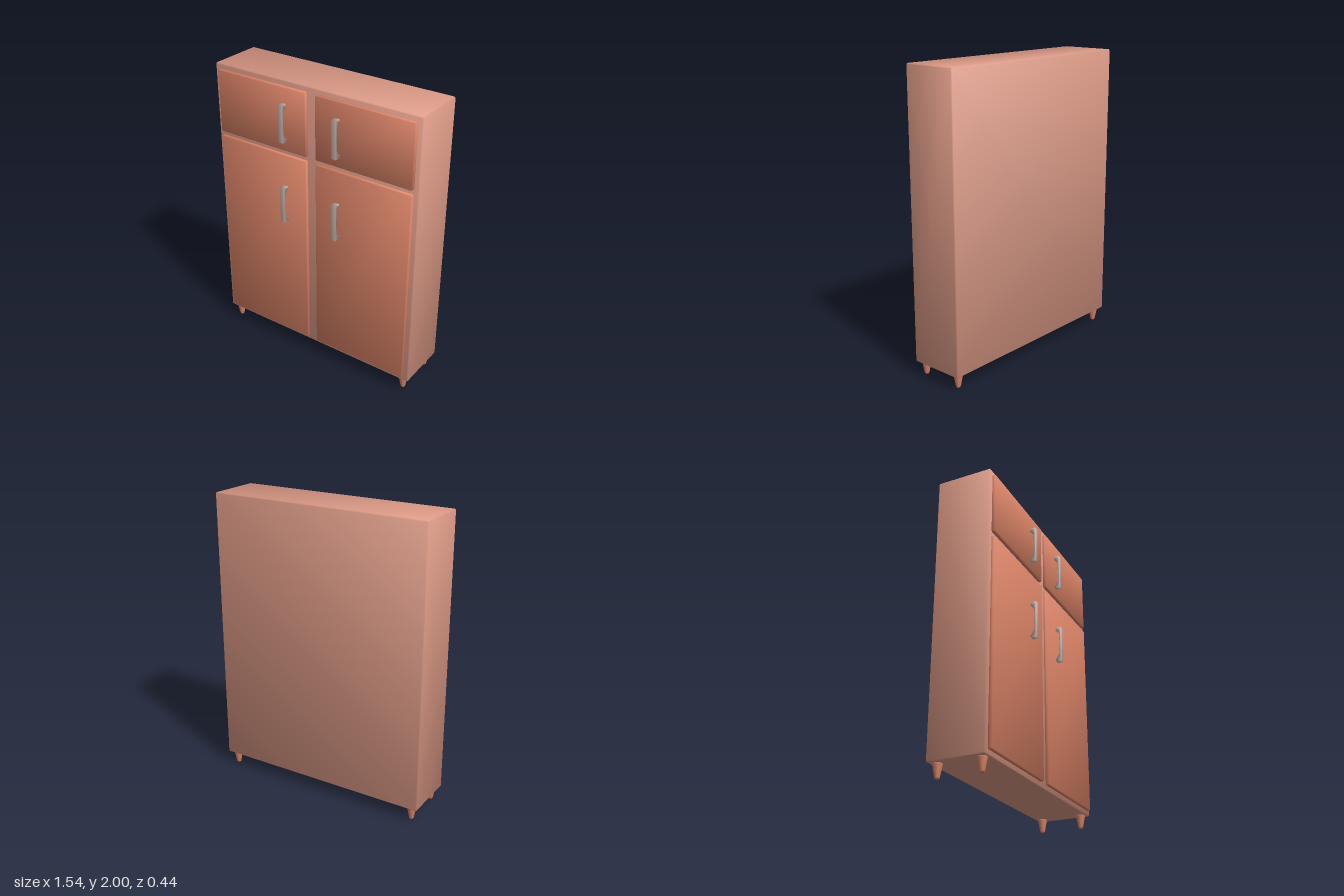
import * as THREE from 'three';
import { mergeVertices } from 'three/addons/utils/BufferGeometryUtils.js';
import { ConvexGeometry } from 'three/addons/geometries/ConvexGeometry.js';

const SIGNS = [-1, 1];

// Box with a small chamfer and soft normals, so its faces shade smoothly into each other
function softBox(w, h, d, bevel) {
  const half = [w / 2, h / 2, d / 2];
  const points = [];
  for (const sx of SIGNS) for (const sy of SIGNS) for (const sz of SIGNS) {
    for (let axis = 0; axis < 3; axis++) {
      const p = [sx, sy, sz].map((s, i) => s * (half[i] - (i === axis ? 0 : bevel)));
      points.push(new THREE.Vector3(...p));
    }
  }
  const geometry = new ConvexGeometry(points);
  const pos = geometry.attributes.position;
  const normal = new THREE.Vector3();
  for (let i = 0; i < pos.count; i++) {
    const n = [pos.getX(i), pos.getY(i), pos.getZ(i)].map((v, k) =>
      Math.sign(v) * (Math.abs(v) > half[k] - bevel / 2 ? 1 : 0.39));
    normal.set(...n).normalize();
    geometry.attributes.normal.setXYZ(i, normal.x, normal.y, normal.z);
  }
  return geometry;
}

// Bow handle: side outline in (z, y), extruded across x
function handleGeometry(width, height) {
  const h = height / 2;
  const shape = new THREE.Shape();
  shape.moveTo(0, -h);
  shape.lineTo(0.04, -h);
  shape.lineTo(0.04, h);
  shape.lineTo(0, h);
  shape.lineTo(0, h - 0.02);
  shape.lineTo(0.006, h - 0.02);
  shape.lineTo(0.028, h - 0.05);
  shape.lineTo(0.03, 0);
  shape.lineTo(0.028, -h + 0.05);
  shape.lineTo(0.006, -h + 0.02);
  shape.lineTo(0, -h + 0.02);
  shape.closePath();
  let geometry = new THREE.ExtrudeGeometry(shape, { depth: width, bevelEnabled: false });
  geometry.translate(0, 0, -width / 2);
  geometry.rotateY(-Math.PI / 2);
  geometry.deleteAttribute('normal');
  geometry.deleteAttribute('uv');
  geometry = mergeVertices(geometry);
  geometry.computeVertexNormals();
  return geometry;
}

export function createModel() {
  const paint = (name, color) => {
    const material = new THREE.MeshStandardMaterial({ color });
    material.name = name;
    return material;
  };
  const bodyPaint = paint('pale terracotta', 0xdb9985);
  const doorPaint = paint('terracotta', 0xdc8467);
  const handlePaint = paint('warm grey', 0xccb5ad);

  const cabinet = new THREE.Group();
  cabinet.name = 'cabinet';
  const add = (name, geometry, material, x, y, z) => {
    const mesh = new THREE.Mesh(geometry, material);
    mesh.name = name;
    mesh.position.set(x, y, z);
    cabinet.add(mesh);
  };

  // Carcass
  add('body', softBox(1.536, 1.91, 0.38, 0.008), bodyPaint, 0, 1.045, -0.03);

  // Door pairs with their handles
  const handle = handleGeometry(0.036, 0.255);
  const rows = [
    { name: 'lower', bottom: 0.122, top: 1.506, handleY: 1.158 },
    { name: 'upper', bottom: 1.535, top: 1.967, handleY: 1.732 },
  ];
  for (const row of rows) {
    const door = softBox(0.7, row.top - row.bottom, 0.03, 0.007);
    for (const side of SIGNS) {
      const label = row.name + (side > 0 ? 'Left' : 'Right');
      add(label + 'Door', door, doorPaint, side * 0.385, (row.bottom + row.top) / 2, 0.167);
      add(label + 'Handle', handle, handlePaint, side * 0.202, row.handleY, 0.18);
    }
  }

  // Tapered feet
  const profile = [[0, 0], [0.012, 0], [0.016, 0.008], [0.031, 0.085], [0.031, 0.094], [0, 0.094]]
    .map(([r, y]) => new THREE.Vector2(r, y));
  const foot = new THREE.LatheGeometry(profile, 16);
  for (const side of SIGNS) {
    for (const z of [0.115, -0.172]) {
      const label = (z > 0 ? 'front' : 'back') + (side > 0 ? 'Left' : 'Right');
      add(label + 'Foot', foot, doorPaint, side * 0.712, 0, z);
    }
  }
  return cabinet;
}
